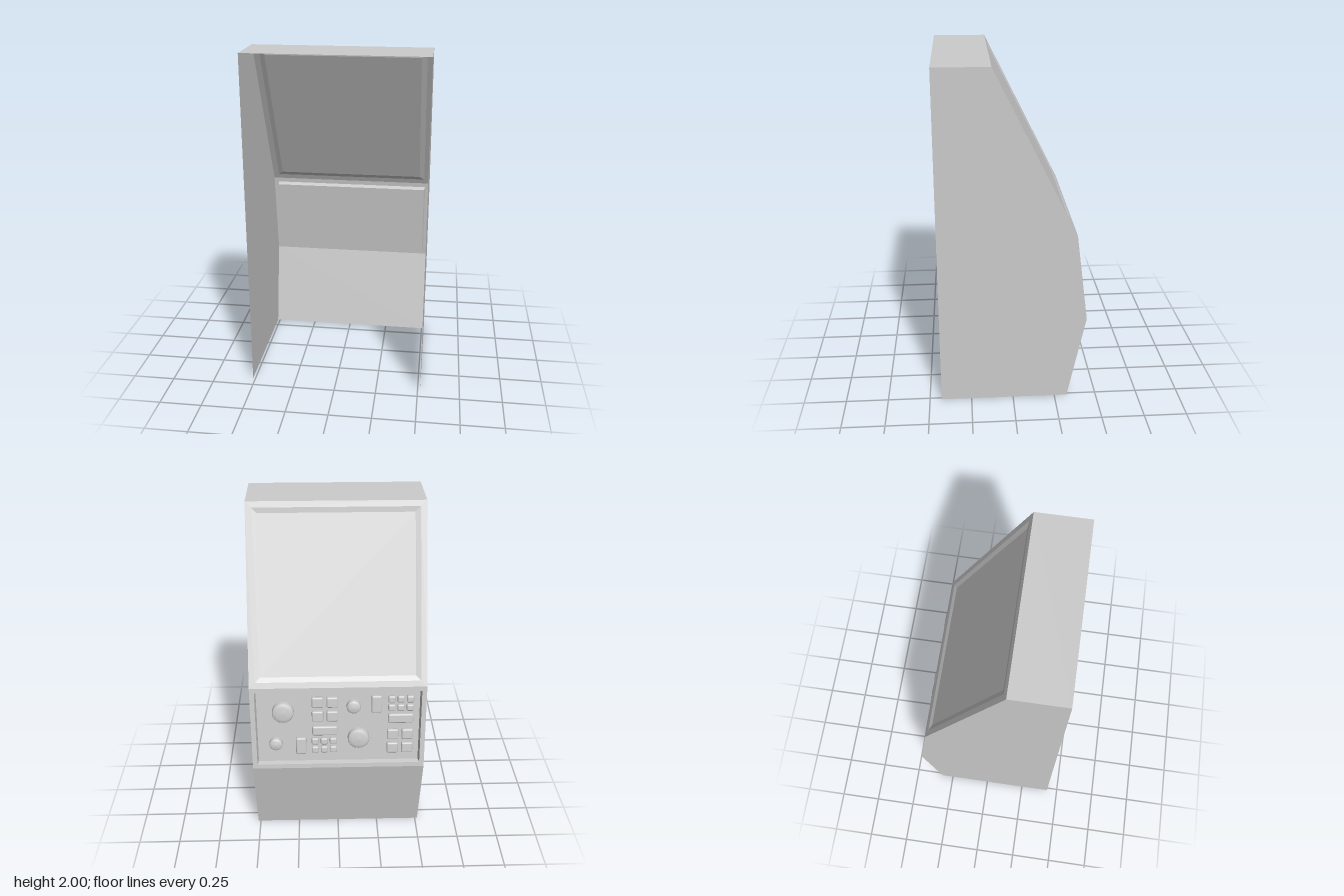
import * as THREE from 'three';
import { RoundedBoxGeometry } from 'three/addons/geometries/RoundedBoxGeometry.js';

const WIDTH = 1.03;
// Side profile as [z, y], from the back foot over the top and down the face
const PROFILE = [[0.43, 0], [0.43, 2], [0.115, 2], [-0.36, 1.05], [-0.43, 0.52], [-0.325, 0]];

const material = new THREE.MeshStandardMaterial({ color: 0xcccccc });
const shellMaterial = new THREE.MeshStandardMaterial({ color: 0xcccccc, side: THREE.DoubleSide });

function add(parent, geometry, name, mat = material) {
  const mesh = new THREE.Mesh(geometry, mat);
  mesh.name = name;
  parent.add(mesh);
  return mesh;
}

// Rectangular face with stepped frame: each step is [inset, recess]
function framedFace(width, height, steps) {
  const rings = [[0, 0], ...steps].map(([inset, recess]) => {
    const w = width / 2 - inset, h = height / 2 - inset;
    return [[-w, -h, -recess], [w, -h, -recess], [w, h, -recess], [-w, h, -recess]];
  });
  const positions = [];
  const quad = (a, b, c, d) => positions.push(...a, ...b, ...c, ...a, ...c, ...d);
  for (let r = 0; r < rings.length - 1; r++) {
    for (let i = 0; i < 4; i++) {
      const j = (i + 1) % 4;
      quad(rings[r][i], rings[r][j], rings[r + 1][j], rings[r + 1][i]);
    }
  }
  quad(...rings[rings.length - 1]);
  const geometry = new THREE.BufferGeometry();
  geometry.setAttribute('position', new THREE.Float32BufferAttribute(positions, 3));
  geometry.computeVertexNormals();
  return geometry;
}

// Group lying on the profile segment between two points, local +z facing outward
function addFace(parent, upper, lower, name, steps = []) {
  const a = new THREE.Vector3(0, upper[1], upper[0]);
  const b = new THREE.Vector3(0, lower[1], lower[0]);
  const up = a.clone().sub(b);
  const height = up.length();
  up.normalize();
  const right = new THREE.Vector3(-1, 0, 0);
  const face = new THREE.Group();
  face.name = name + 'Group';
  face.quaternion.setFromRotationMatrix(
    new THREE.Matrix4().makeBasis(right, up, right.clone().cross(up)));
  face.position.copy(a.add(b).multiplyScalar(0.5));
  add(face, framedFace(WIDTH, height, steps), name, shellMaterial);
  parent.add(face);
  return face;
}

export function createModel() {
  const model = new THREE.Group();
  model.name = 'consoleCabinet';

  // Side walls
  const outline = new THREE.Shape(PROFILE.map(([z, y]) => new THREE.Vector2(z, y)));
  for (const side of [-1, 1]) {
    const wall = new THREE.ShapeGeometry(outline).rotateY(-Math.PI / 2);
    wall.translate(side * WIDTH / 2, 0, 0);
    add(model, wall, side > 0 ? 'leftWall' : 'rightWall', shellMaterial);
  }

  // Top, screen, control panel and lower face; back and bottom stay open
  const recess = 0.03;
  addFace(model, PROFILE[1], PROFILE[2], 'topDeck');
  addFace(model, PROFILE[2], PROFILE[3], 'screen', [[0.035, 0], [0.065, 0.008]]);
  const panel = addFace(model, PROFILE[3], PROFILE[4], 'controlPanel', [[0.028, 0], [0.035, recess]]);
  addFace(model, PROFILE[4], PROFILE[5], 'lowerFace');

  // Place a control by its x and height on the recessed panel
  const place = (mesh, x, y, lift) => mesh.position.set(-x, (y - 0.785) / 0.99, lift - recess);

  // Rounded push buttons in grids
  const depth = 0.026;
  const buttons = (name, xs, ys, w, h) => {
    for (const x of xs) for (const y of ys) {
      const geometry = new RoundedBoxGeometry(w, h, depth, 2, 0.01);
      place(add(panel, geometry, name), x, y, depth / 2);
    }
  };
  buttons('squareButton', [0.035, 0.122], [0.95, 0.86], 0.068, 0.068);
  buttons('squareButton', [-0.41, -0.323], [0.735, 0.645], 0.068, 0.068);
  buttons('wideButton', [0.08], [0.765], 0.15, 0.06);
  buttons('wideButton', [-0.368], [0.84], 0.15, 0.06);
  buttons('smallButton', [0.03, 0.084, 0.138], [0.695, 0.64], 0.043, 0.043);
  buttons('smallButton', [-0.422, -0.368, -0.314], [0.965, 0.91], 0.043, 0.043);
  buttons('tallButton', [0.222], [0.665], 0.062, 0.11);
  buttons('tallButton', [-0.225], [0.935], 0.062, 0.11);

  // Domed knobs
  for (const [x, y, r] of [[0.325, 0.888, 0.065], [0.372, 0.68, 0.04], [-0.09, 0.92, 0.042], [-0.12, 0.712, 0.065]]) {
    const profile = [[1, 0], [0.98, 0.024], [0.9, 0.03], [0.6, 0.035], [0, 0.038]]
      .map(([k, h]) => new THREE.Vector2(k * r, h));
    place(add(panel, new THREE.LatheGeometry(profile, 16).rotateX(Math.PI / 2), 'knob'), x, y, 0);
  }
  return model;
}
